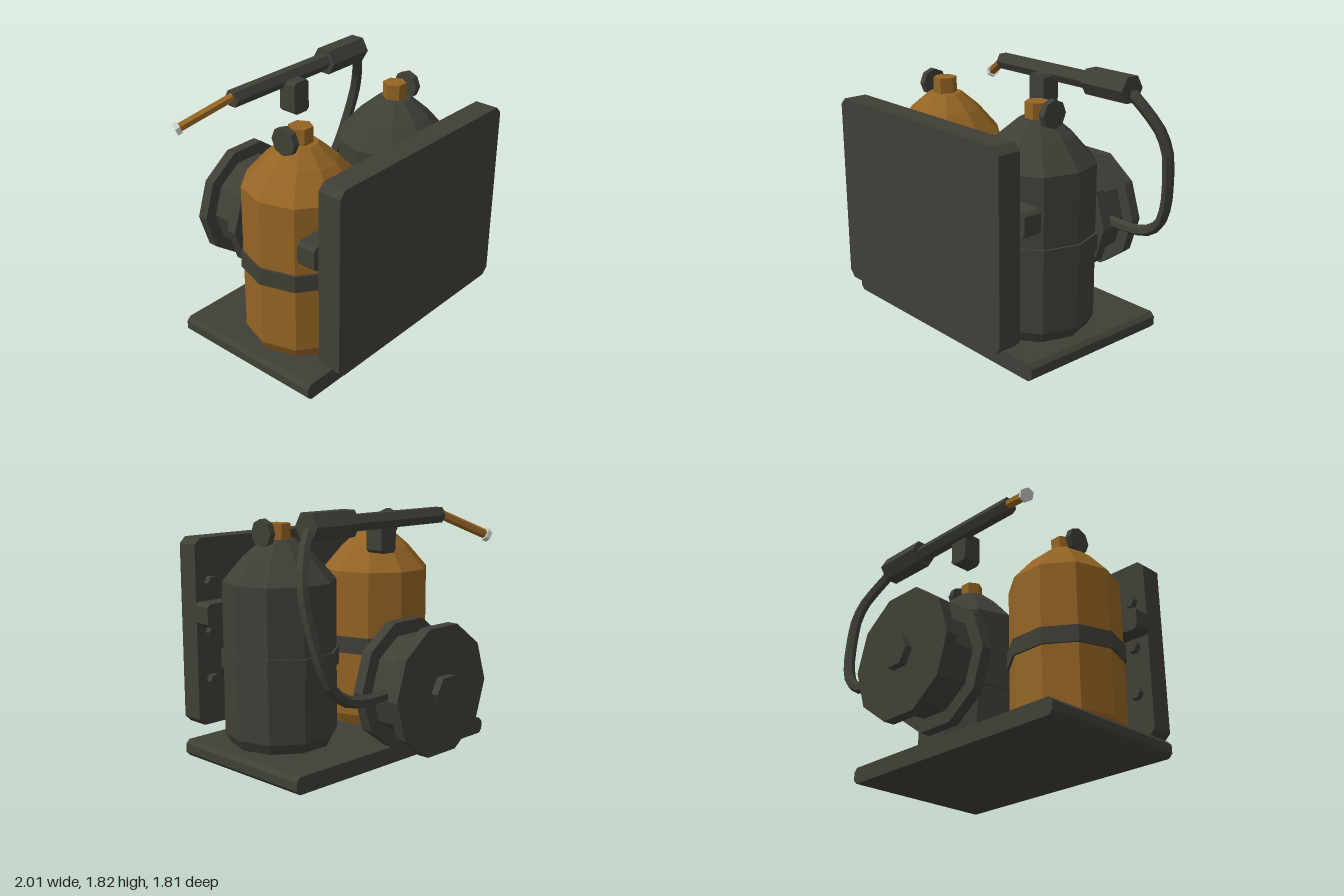
import * as THREE from 'three';

const dark = new THREE.MeshStandardMaterial({ color: 0x40403a });
dark.name = 'dark olive metal';
dark.color.set(0x403f37);
const orange = new THREE.MeshStandardMaterial({ color: 0x946424 });
orange.name = 'ochre paint';
const steel = new THREE.MeshStandardMaterial({ color: 0xd0d0d0 });
steel.name = 'bright steel';

const HALF = Math.PI / 2;

// Faceted mesh: unshared vertices give flat normals
function part(parent, name, geometry, material) {
  const g = geometry.index ? geometry.toNonIndexed() : geometry;
  g.computeVertexNormals();
  const mesh = new THREE.Mesh(g, material);
  mesh.name = name;
  parent.add(mesh);
  return mesh;
}

// Slab along z with chamfered corners
function slab(x0, x1, y0, y1, z0, z1, c) {
  const s = new THREE.Shape([
    [x0 + c, y0], [x1 - c, y0], [x1, y0 + c], [x1, y1 - c],
    [x1 - c, y1], [x0 + c, y1], [x0, y1 - c], [x0, y0 + c],
  ].map(([x, y]) => new THREE.Vector2(x, y)));
  return new THREE.ExtrudeGeometry(s, { depth: z1 - z0, bevelEnabled: false }).translate(0, 0, z0);
}

// Prism along z with corners on the x axis
function prismZ(r, sides, x, y, z0, z1) {
  return new THREE.CylinderGeometry(r, r, z1 - z0, sides)
    .rotateY(HALF).rotateX(HALF).translate(x, y, (z0 + z1) / 2);
}

// Prism along x with corners facing z
function prismX(r, sides, x0, x1, y, z) {
  return new THREE.CylinderGeometry(r, r, x1 - x0, sides)
    .rotateZ(HALF).translate((x0 + x1) / 2, y, z);
}

// Tapered prism between two points
function rod(a, b, r, sides) {
  const dir = b.clone().sub(a);
  const q = new THREE.Quaternion().setFromUnitVectors(new THREE.Vector3(0, 1, 0), dir.clone().normalize());
  return new THREE.CylinderGeometry(r, r, dir.length(), sides)
    .applyQuaternion(q).translate((a.x + b.x) / 2, (a.y + b.y) / 2, (a.z + b.z) / 2);
}

function tank(name, x, side, material) {
  const g = new THREE.Group();
  g.name = name;
  g.position.set(x, 0, 0.246);
  const profile = [[0, 0.12], [0.365, 0.12], [0.407, 0.2], [0.407, 1.3], [0.255, 1.475], [0.12, 1.59], [0, 1.59]]
    .map(([r, y]) => new THREE.Vector2(r, y));
  part(g, 'tankBody', new THREE.LatheGeometry(profile, 10).rotateY(HALF), material);
  part(g, 'tankBand', new THREE.CylinderGeometry(0.424, 0.424, 0.125, 10).rotateY(HALF).translate(0, 0.745, 0), dark);
  part(g, 'valveCap', new THREE.CylinderGeometry(0.085, 0.085, 0.13, 6).rotateY(HALF).translate(0, 1.637, 0), orange);
  const wx = side * 0.146;
  part(g, 'valveWheel', prismX(0.1, 8, wx - 0.024, wx + 0.024, 1.64, 0), dark);
  return g;
}

export function createModel() {
  const model = new THREE.Group();
  model.name = 'twinTankSprayer';

  // Base and front shield
  part(model, 'base', slab(-1, 0.975, 0, 0.122, -0.45, 0.738, 0.03), dark);
  part(model, 'frontPlate', slab(-0.878, 0.854, 0.2, 1.585, 0.728, 0.902, 0.048), dark);
  part(model, 'crossBar', slab(-0.905, 0.875, 0.958, 1.13, 0.57, 0.712, 0.025), dark);
  for (const x of [-0.757, 0.73])
    for (const y of [1.26, 0.897, 0.533])
      part(model, 'plateBolt', prismZ(0.05, 6, x, y, 0.68, 0.73), dark);

  // Tanks
  model.add(tank('rightTank', -0.51, -1, orange), tank('leftTank', 0.48, 1, dark));

  // Hose reel
  const reel = new THREE.Group();
  reel.name = 'hoseReel';
  model.add(reel);
  part(reel, 'reelDrum', prismZ(0.37, 10, -0.015, 0.598, -0.77, -0.535), dark);
  part(reel, 'innerFlange', prismZ(0.468, 10, -0.015, 0.598, -0.538, -0.457), dark);
  part(reel, 'outerFlange', prismZ(0.468, 10, -0.015, 0.598, -0.85, -0.768), dark);
  part(reel, 'reelHub', prismZ(0.122, 6, -0.015, 0.598, -0.905, -0.85), dark);

  // Spray lance
  const lance = new THREE.Group();
  lance.name = 'sprayLance';
  model.add(lance);
  part(lance, 'lanceBarrel', prismX(0.064, 6, -0.555, 0.39, 1.732, -0.348), dark);
  part(lance, 'lanceSleeve', prismX(0.104, 6, 0.385, 0.777, 1.734, -0.35), dark);
  part(lance, 'lanceGrip', slab(-0.087, 0.06, 1.495, 1.737, -0.345, -0.202, 0.022), dark);
  const start = new THREE.Vector3(-0.54, 1.745, -0.35);
  const neck = new THREE.Vector3(-0.877, 1.58, -0.523);
  const tip = neck.clone().add(neck.clone().sub(start).setLength(0.036));
  part(lance, 'lanceNozzle', rod(start, neck, 0.035, 6), orange);
  part(lance, 'nozzleTip', rod(neck, tip, 0.05, 6), steel);

  // Hose from sleeve to reel
  const path = new THREE.CatmullRomCurve3([
    [0.7, 1.73, -0.35], [0.775, 1.69, -0.37], [0.855, 1.59, -0.415], [0.93, 1.46, -0.475],
    [0.965, 1.31, -0.52], [0.957, 1.17, -0.55], [0.93, 1, -0.585], [0.9, 0.87, -0.61],
    [0.84, 0.73, -0.63], [0.74, 0.64, -0.643], [0.6, 0.6, -0.645], [0.33, 0.598, -0.645],
  ].map((p) => new THREE.Vector3(...p)));
  part(model, 'hose', new THREE.TubeGeometry(path, 18, 0.042, 6), dark);

  return model;
}
